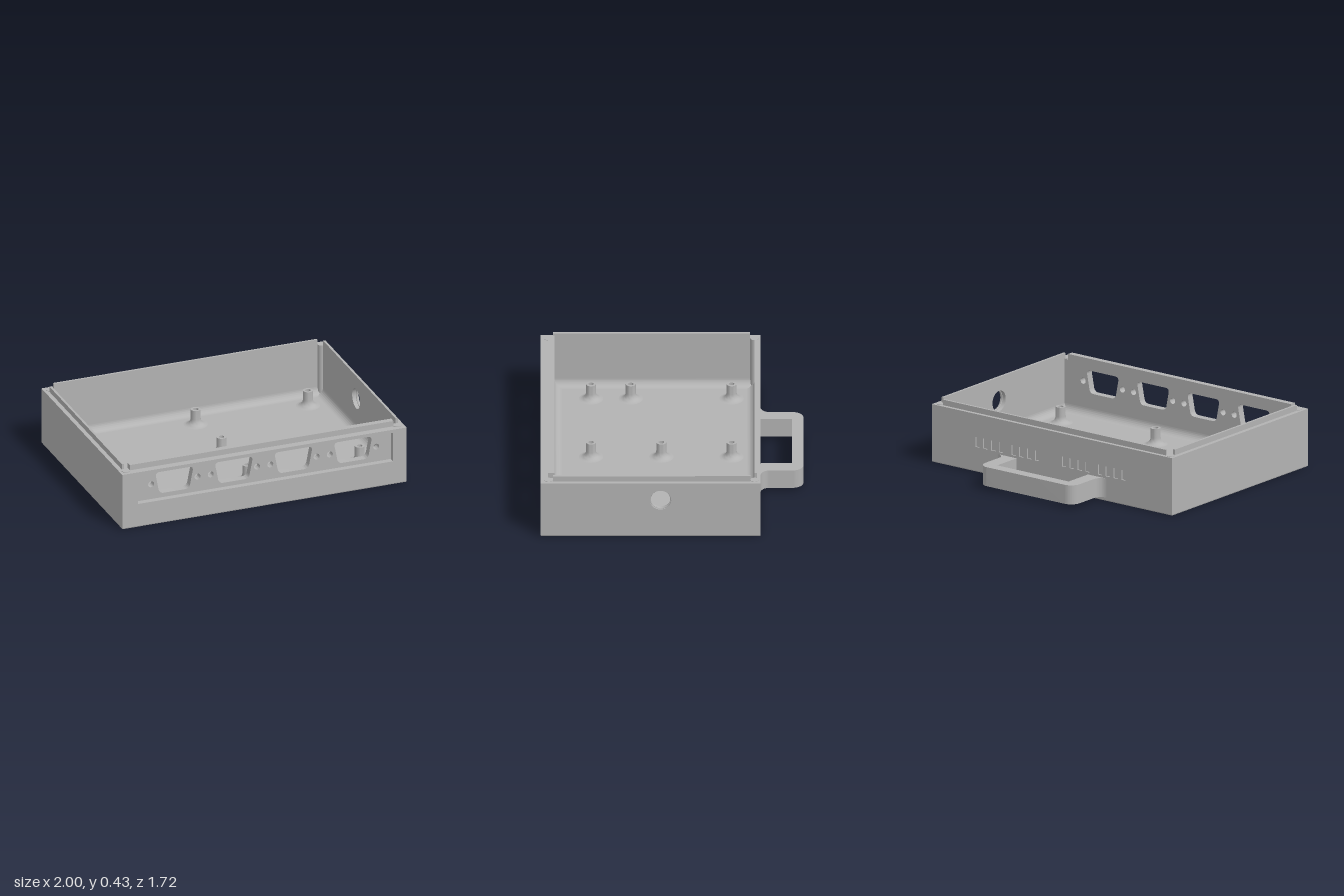
import * as THREE from 'three';
import { toCreasedNormals } from 'three/addons/utils/BufferGeometryUtils.js';

const TOP = 0.395, FLOOR = 0.045, LIP = 0.433;      // heights
const IX = 0.955, BACK = -0.58, FRONT = 0.86;       // inner half width, outer ends
const IB = -0.54, IF = 0.77;                        // inner ends

export function createModel() {
  const model = new THREE.Group();
  const grey = new THREE.MeshStandardMaterial({ color: 0xb3b3b3 });
  grey.name = 'grey plastic';

  const add = (name, geometry, x = 0, y = 0, z = 0) => {
    const mesh = new THREE.Mesh(geometry, grey);
    mesh.name = name;
    mesh.position.set(x, y, z);
    model.add(mesh);
    return mesh;
  };
  const box = (name, x0, x1, y0, y1, z0, z1) =>
    add(name, new THREE.BoxGeometry(x1 - x0, y1 - y0, z1 - z0), (x0 + x1) / 2, (y0 + y1) / 2, (z0 + z1) / 2);
  const rect = (x0, x1, y0, y1) => new THREE.Shape([
    new THREE.Vector2(x0, y0), new THREE.Vector2(x1, y0),
    new THREE.Vector2(x1, y1), new THREE.Vector2(x0, y1)]);
  const circle = (x, y, r) => new THREE.Path().absarc(x, y, r, 0, Math.PI * 2);
  const extrude = (shape, depth, options = {}) =>
    new THREE.ExtrudeGeometry(shape, { depth, bevelEnabled: false, curveSegments: 16, ...options });
  const smooth = (geometry) => toCreasedNormals(geometry, 0.55);

  // Floor slab with a slightly eased bottom edge
  const e = 0.008;
  const slab = extrude(rect(-1 + e, 1 - e, BACK + e, FRONT - e), FLOOR - 2 * e,
    { bevelEnabled: true, bevelSize: e, bevelThickness: e, bevelSegments: 2 });
  add('floor', slab.rotateX(Math.PI / 2), 0, FLOOR - e, 0);

  // Side walls, the right-hand one with a round cable hole
  const y0 = 0.01;
  for (const s of [-1, 1]) {
    const wall = rect(BACK, FRONT, y0, TOP);
    if (s > 0) wall.holes.push(circle(0.075, 0.27, 0.07));
    add('sideWall', smooth(extrude(wall, 1 - IX).rotateY(-Math.PI / 2)), s > 0 ? 1 : -IX);
  }
  const rim = new THREE.TorusGeometry(0.068, 0.005, 8, 32).rotateY(Math.PI / 2);
  add('cableHoleRim', rim, 0.985, 0.27, 0.075);

  // Rounded, downward tapering connector opening
  const portPath = (cx) => {
    const corners = [[-0.105, 0.197], [0.105, 0.197], [0.135, 0.352], [-0.135, 0.352]]
      .map(([x, y]) => new THREE.Vector2(cx + x, y));
    const path = new THREE.Path();
    corners.forEach((c, i) => {
      const toward = (p) => c.clone().add(p.clone().sub(c).setLength(0.032));
      const a = toward(corners[(i + 3) % 4]), b = toward(corners[(i + 1) % 4]);
      if (i) path.lineTo(a.x, a.y); else path.moveTo(a.x, a.y);
      path.quadraticCurveTo(c.x, c.y, b.x, b.y);
    });
    path.closePath();
    return path;
  };

  // Front wall: outer frame around a recessed connector panel
  const frame = rect(-IX, IX, y0, TOP);
  frame.holes.push(rect(-0.89, 0.905, 0.167, 0.373));
  add('frontFrame', extrude(frame, 0.04), 0, 0, 0.82);
  const panel = rect(-IX, IX, y0, TOP);
  for (let i = 0; i < 4; i++) {
    const cx = -0.618 + i * 0.419;
    panel.holes.push(portPath(cx), circle(cx - 0.163, 0.273, 0.021), circle(cx + 0.163, 0.273, 0.021));
  }
  add('connectorPanel', smooth(extrude(panel, 0.82 - IF)), 0, 0, IF);

  // Back wall with rows of shallow grooves in its outer skin
  const skin = rect(-IX, IX, y0, TOP);
  for (const start of [0.62, 0.32, -0.1, -0.4]) {
    for (let i = 0; i < 4; i++) {
      const x = start - i * 0.065;
      skin.holes.push(rect(x - 0.018, x + 0.018, 0.17, 0.238));
    }
  }
  add('backSkin', extrude(skin, 0.01), 0, 0, BACK);
  box('backWall', -IX, IX, y0, TOP, BACK + 0.01, IB);

  // Raised lip, interrupted at the corners
  const r = 0.028, lipX = 0.971;
  const postZ = [-0.54, 0.807];
  for (const s of [-1, 1]) {
    const a = s * IX, b = s * lipX;
    box('sideLip', Math.min(a, b), Math.max(a, b), TOP - 0.01, LIP, postZ[0] + r, postZ[1] - r);
  }
  box('backLip', -IX + r, IX - r, TOP - 0.01, LIP, -0.555, IB);
  box('frontLip', -IX + r, IX - r, TOP - 0.01, LIP, IF, 0.811);

  // Round corner posts
  for (const x of [-IX, IX]) for (const z of postZ)
    add('cornerPost', new THREE.CylinderGeometry(r, r, TOP - 0.017, 24), x, (TOP + 0.023) / 2, z);

  // Concave fillets between floor and walls
  const R = 0.05, zc = (IB + IF) / 2;
  const cove = new THREE.Shape();
  cove.moveTo(0, 0);
  cove.lineTo(R, 0);
  cove.absarc(R, R, R, -Math.PI / 2, -Math.PI, true);
  cove.closePath();
  for (const [x, z, turn, length] of [
    [-IX, zc, 0, IF - IB], [IX, zc, Math.PI, IF - IB],
    [0, IB, -Math.PI / 2, 2 * IX], [0, IF, Math.PI / 2, 2 * IX]]) {
    const g = extrude(cove, length).translate(0, 0, -length / 2);
    add('floorFillet', smooth(g), x, FLOOR, z).rotation.y = turn;
  }

  // Flared standoffs with blind screw holes
  const profile = [];
  for (let i = 0; i <= 6; i++) {
    const t = (i / 6) * Math.PI / 2;
    profile.push(new THREE.Vector2(0.08 - 0.047 * Math.sin(t), FLOOR + 0.047 * (1 - Math.cos(t))));
  }
  for (const [x, y] of [[0.033, 0.155], [0.018, 0.155], [0.018, 0.09], [0, 0.09]])
    profile.push(new THREE.Vector2(x, y));
  const standoff = smooth(new THREE.LatheGeometry(profile, 24));
  for (const [x, z] of [[-0.775, -0.39], [0.01, -0.39], [0.8, -0.39], [0.01, 0.07],
    [-0.775, 0.27], [-0.775, 0.53], [0.01, 0.53], [0.8, 0.53]])
    add('standoff', standoff, x, 0, z);

  // Carrying handle, flared where it meets the back wall
  const h = new THREE.Shape();
  h.moveTo(-0.455, BACK);
  h.absarc(-0.455, BACK - 0.06, 0.06, Math.PI / 2, 0, true);
  h.lineTo(-0.395, -0.79);
  h.absarc(-0.325, -0.79, 0.07, Math.PI, Math.PI * 1.5);
  h.lineTo(0.322, -0.86);
  h.absarc(0.322, -0.79, 0.07, Math.PI * 1.5, Math.PI * 2);
  h.lineTo(0.392, BACK - 0.06);
  h.absarc(0.452, BACK - 0.06, 0.06, Math.PI, Math.PI / 2, true);
  h.lineTo(0.295, BACK);
  h.lineTo(0.295, -0.785);
  h.lineTo(-0.3, -0.785);
  h.lineTo(-0.3, BACK);
  h.closePath();
  add('handle', smooth(extrude(h, 0.13).rotateX(Math.PI / 2)), 0, 0.155, 0);

  return model;
}
